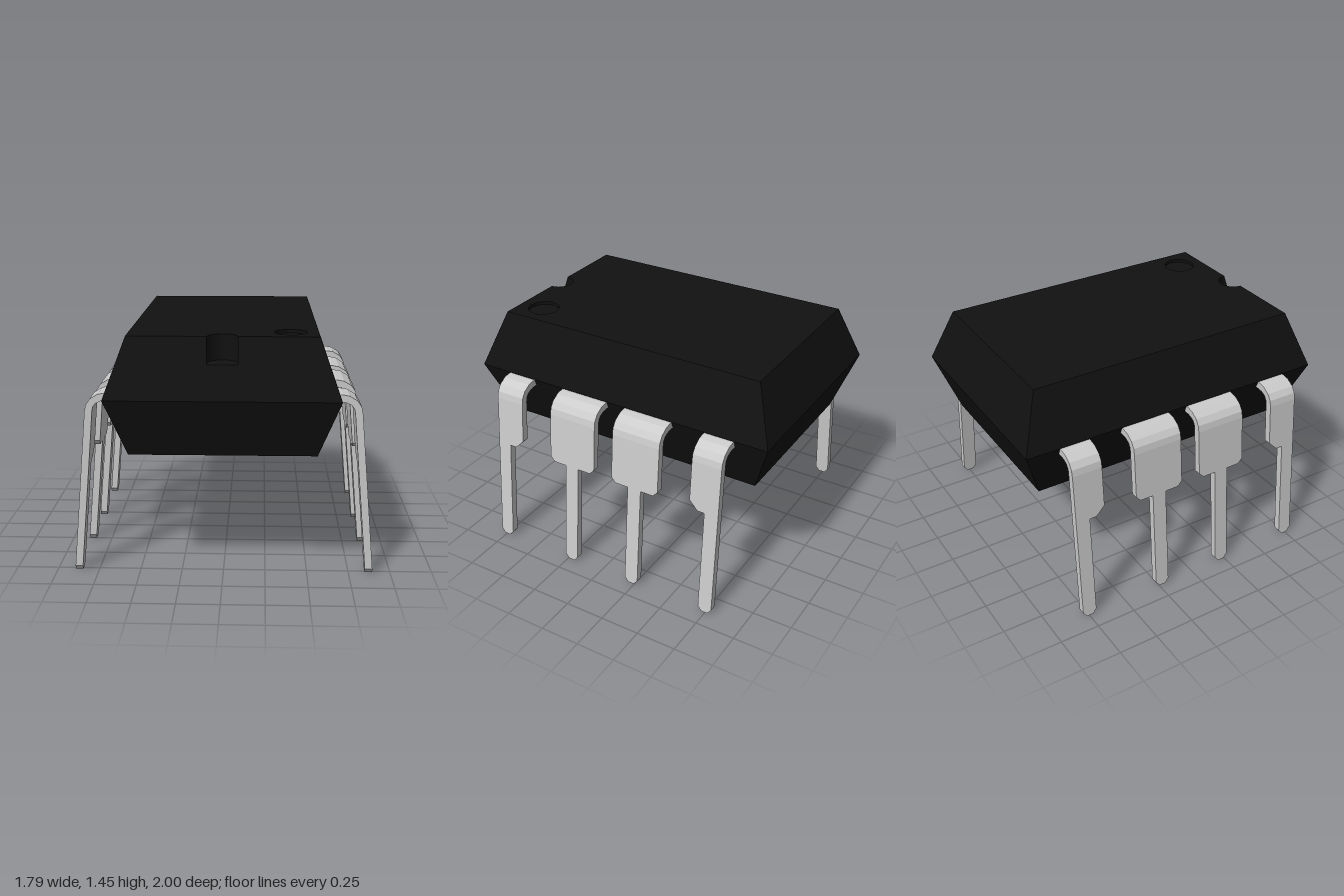
import * as THREE from 'three';

const TOP = 1.445, MID = 1.1, BOT = 0.755;   // body heights
const HX = 0.67, HZ = 1, TX = 0.545, TZ = 0.875; // half sizes at the waist and at the faces
const NR = 0.088, NY = 1.295;                // notch radius and floor height
const DIMPLE = { x: 0.385, z: 0.715, r: 0.095, depth: 0.02 };

// Flat-shaded mesh from a list of four-cornered faces
function quadMesh(name, quads, material) {
  const pos = [];
  for (const [a, b, c, d] of quads) pos.push(...a, ...b, ...c, ...a, ...c, ...d);
  const geo = new THREE.BufferGeometry();
  geo.setAttribute('position', new THREE.Float32BufferAttribute(pos, 3));
  geo.computeVertexNormals();
  const mesh = new THREE.Mesh(geo, material);
  mesh.name = name;
  return mesh;
}

// Horizontal face facing up; shape coordinates are (x, -z)
function flatFace(name, shape, y, material) {
  const mesh = new THREE.Mesh(new THREE.ShapeGeometry(shape, 24), material);
  mesh.rotation.x = -Math.PI / 2;
  mesh.position.y = y;
  mesh.name = name;
  return mesh;
}

const ring = (y, x, z) => [[x, y, z], [x, y, -z], [-x, y, -z], [-x, y, z]];
const slopeZ = y => TZ + (TOP - y) / (TOP - MID) * (HZ - TZ);

function createBody() {
  const black = new THREE.MeshStandardMaterial({ color: 0x111111, flatShading: true });
  const blackDouble = black.clone();
  blackDouble.side = THREE.DoubleSide;
  const body = new THREE.Group();
  body.name = 'body';

  // Sloping sides above and below the waist, and the underside
  const low = ring(BOT, TX, TZ), mid = ring(MID, HX, HZ), high = ring(TOP, TX, TZ);
  const quads = [[low[3], low[2], low[1], low[0]]];
  for (let k = 0; k < 4; k++) {
    const n = (k + 1) % 4;
    quads.push([low[k], low[n], mid[n], mid[k]]);
    if (k < 3) quads.push([mid[k], mid[n], high[n], high[k]]);
  }
  // Upper front slope, split around the notch
  const p = (x, y) => [x, y, slopeZ(y)];
  quads.push(
    [p(-HX, MID), p(-NR, MID), p(-NR, TOP), p(-TX, TOP)],
    [p(-NR, MID), p(NR, MID), p(NR, NY), p(-NR, NY)],
    [p(NR, MID), p(HX, MID), p(TX, TOP), p(NR, TOP)]);
  body.add(quadMesh('casing', quads, black));

  // Rounded back of the notch, as (x, z) points from left to right
  const arc = [];
  for (let i = 0; i <= 12; i++) {
    const a = Math.PI * (1 - i / 12);
    arc.push([NR * Math.cos(a), TZ - NR * Math.sin(a)]);
  }
  const arc2 = arc.map(([x, z]) => new THREE.Vector2(x, -z));

  // Top face with the notch and the dimple cut out
  const top = new THREE.Shape([
    new THREE.Vector2(-TX, -TZ), ...arc2, new THREE.Vector2(TX, -TZ),
    new THREE.Vector2(TX, TZ), new THREE.Vector2(-TX, TZ)]);
  top.holes.push(new THREE.Path().absarc(DIMPLE.x, -DIMPLE.z, DIMPLE.r, 0, Math.PI * 2, true));
  body.add(flatFace('topFace', top, TOP, black));

  // Notch walls and floor
  const fz = slopeZ(NY);
  const rimTop = [[-NR, TZ], ...arc, [NR, TZ]];
  const rimLow = [[-NR, fz], ...arc, [NR, fz]];
  const walls = [];
  for (let i = 0; i < rimTop.length - 1; i++) {
    const at = ([x, z], y) => [x, y, z];
    walls.push([at(rimLow[i], NY), at(rimLow[i + 1], NY), at(rimTop[i + 1], TOP), at(rimTop[i], TOP)]);
  }
  body.add(quadMesh('notchWall', walls, blackDouble));
  const floor = new THREE.Shape([new THREE.Vector2(-NR, -fz), new THREE.Vector2(NR, -fz), ...arc2.slice().reverse()]);
  body.add(flatFace('notchFloor', floor, NY, black));

  // Pin-one dimple
  const wall = new THREE.Mesh(
    new THREE.CylinderGeometry(DIMPLE.r, DIMPLE.r, DIMPLE.depth, 48, 1, true), blackDouble);
  wall.position.set(DIMPLE.x, TOP - DIMPLE.depth / 2, DIMPLE.z);
  wall.name = 'dimpleWall';
  const disc = new THREE.Shape().absarc(DIMPLE.x, -DIMPLE.z, DIMPLE.r, 0, Math.PI * 2, false);
  body.add(wall, flatFace('dimpleFloor', disc, TOP - DIMPLE.depth, black));
  return body;
}

// Bend at the top of each leg: outer x, y then inner x, y
const BEND = [
  [0.62, 1.097, 0.62, 1.053], [0.685, 1.097, 0.685, 1.053], [0.725, 1.09, 0.71, 1.049],
  [0.772, 1.062, 0.74, 1.035], [0.797, 1.025, 0.756, 1.012], [0.805, 0.985, 0.761, 0.985]];
// Widths down the leg: y, lower z, upper z
const MIDDLE = [
  [0.70, 0.064, 0.385], [0.67, 0.094, 0.355], [0.67, 0.18, 0.27],
  [0.03, 0.18, 0.27], [0.005, 0.2, 0.25], [0, 0.205, 0.245]];
const CORNER = [
  [0.73, 0.6, 0.79], [0.675, 0.655, 0.79], [0.675, 0.7, 0.79],
  [0.03, 0.7, 0.79], [0.005, 0.72, 0.77], [0, 0.725, 0.765]];

// Bent strip lofted through rectangular sections
function createLeg(widths, side, material) {
  const section = (ox, oy, ix, iy, a, b) => {
    const [lo, hi] = side > 0 ? [a, b] : [-b, -a];
    return [[ox, oy, lo], [ox, oy, hi], [ix, iy, hi], [ix, iy, lo]];
  };
  const sections = BEND.map(s => section(...s, widths[0][1], widths[0][2]));
  for (const [y, a, b] of widths) {
    const x = 0.804 + 0.09 * (1 - y);
    sections.push(section(x, y, x - 0.045, y, a, b));
  }
  const quads = [sections[sections.length - 1]];
  for (let i = 0; i < sections.length - 1; i++) {
    const s = sections[i], t = sections[i + 1];
    for (let k = 0; k < 4; k++) {
      const n = (k + 1) % 4;
      quads.push([s[n], t[n], t[k], s[k]]);
    }
  }
  return quadMesh(widths === CORNER ? 'cornerLeg' : 'middleLeg', quads, material);
}

export function createModel() {
  const model = new THREE.Group();
  model.name = 'chip';
  model.add(createBody());

  // Two rows of four legs; the right row is the left one turned around
  const metal = new THREE.MeshStandardMaterial({ color: 0xcccccc, flatShading: true });
  for (const rowName of ['leftLegs', 'rightLegs']) {
    const row = new THREE.Group();
    row.name = rowName;
    for (const side of [1, -1])
      for (const widths of [CORNER, MIDDLE]) row.add(createLeg(widths, side, metal));
    if (rowName === 'rightLegs') row.rotation.y = Math.PI;
    model.add(row);
  }
  return model;
}
